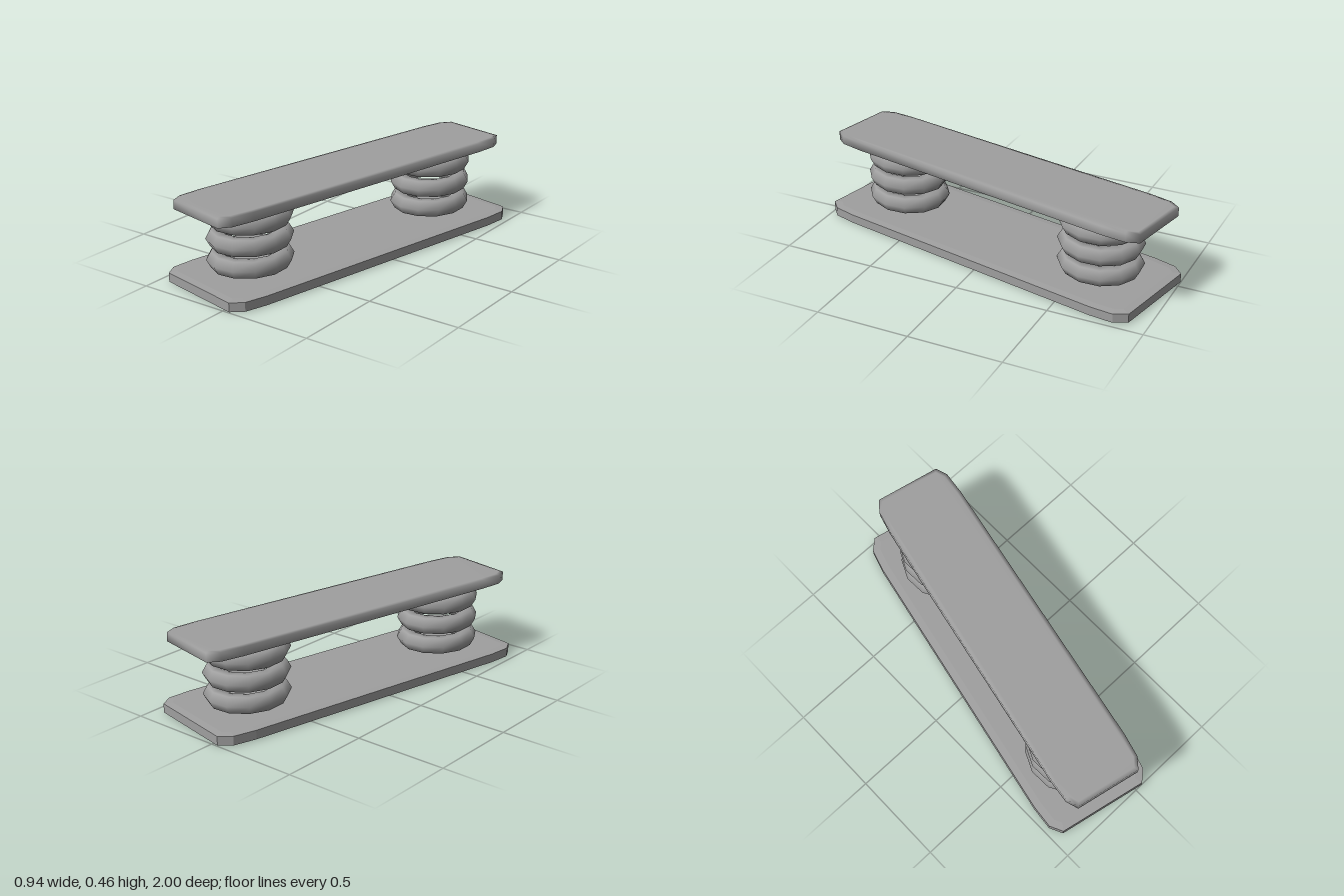
import * as THREE from 'three';
import { mergeVertices } from 'three/addons/utils/BufferGeometryUtils.js';

const material = new THREE.MeshStandardMaterial({ color: 0x9f9f9f });

// Half outline of one quarter of a plate: [half width, half length]
const CORNER = [[0.302, 0.786], [0.29, 0.91], [0.243, 0.971]];

// Long plate with clipped corners and a shallow bevel, standing on y
function makePlate(name, widthScale, y, height, inset) {
  const quarter = CORNER.map(([x, z]) => [x * widthScale, z]);
  const back = [...quarter].reverse();
  const outline = [
    ...quarter,
    ...back.map(([x, z]) => [-x, z]),
    ...quarter.map(([x, z]) => [-x, -z]),
    ...back.map(([x, z]) => [x, -z]),
  ].map(([x, z]) => new THREE.Vector2(x, z));
  const bevel = 0.004;
  const geometry = new THREE.ExtrudeGeometry(new THREE.Shape(outline), {
    depth: height - 2 * bevel,
    bevelThickness: bevel,
    bevelSize: inset,
    bevelOffset: -inset,
    bevelSegments: 1,
  });
  geometry.rotateX(-Math.PI / 2);
  const plate = new THREE.Mesh(geometry, material);
  plate.name = name;
  plate.position.y = y + bevel;
  return plate;
}

// Seat plate: the same plate with its rim shaded smoothly
function makeTopPlate() {
  const plate = makePlate('topPlate', 0.718, 0.405, 0.055, 0.02);
  plate.geometry.deleteAttribute('normal');
  plate.geometry.deleteAttribute('uv');
  plate.geometry = mergeVertices(plate.geometry);
  plate.geometry.computeVertexNormals();
  return plate;
}

// Stack of three separate six-sided rings, slightly oval
function makeSpring(name, z) {
  const spring = new THREE.Group();
  spring.name = name;
  const geometry = new THREE.TorusGeometry(0.178, 0.05, 6, 12);
  geometry.rotateX(Math.PI / 2);
  geometry.scale(0.925, 1, 1);
  for (let i = 0; i < 3; i++) {
    const ring = new THREE.Mesh(geometry, material);
    ring.name = 'springRing';
    ring.position.y = 0.1215 + i * 0.1135;
    spring.add(ring);
  }
  spring.position.set(-0.0125, 0, z);
  return spring;
}

export function createModel() {
  const model = new THREE.Group();
  model.name = 'springBench';

  const body = new THREE.Group();
  body.name = 'benchBody';
  body.rotation.y = -0.206;
  body.add(
    makePlate('basePlate', 1, 0, 0.056, 0.04),
    makeTopPlate(),
    makeSpring('frontSpring', 0.635),
    makeSpring('backSpring', -0.635),
  );
  model.add(body);
  return model;
}
